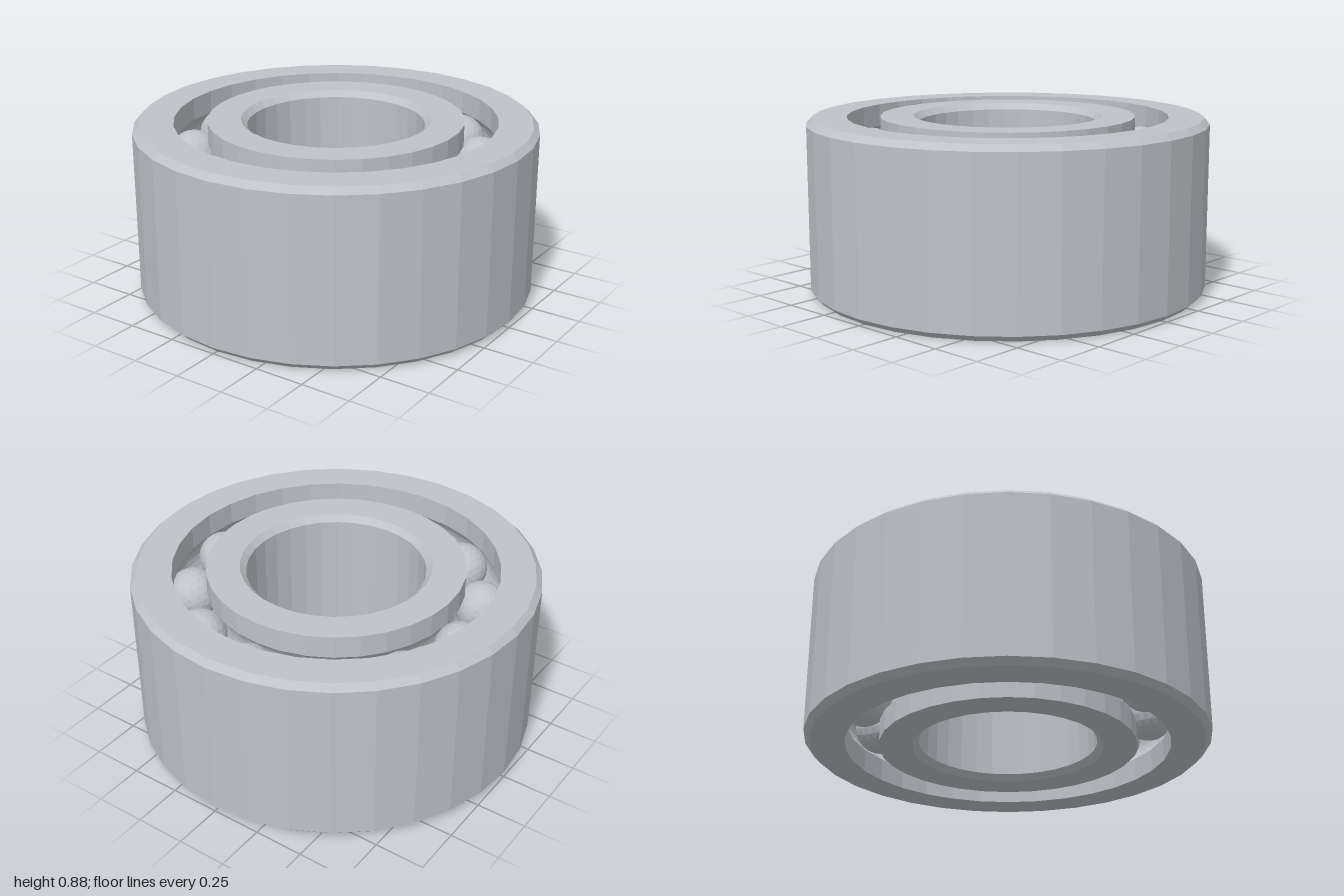
import * as THREE from 'three';

const HEIGHT = 0.875, BEVEL = 0.03, SEGMENTS = 32;
const PITCH = 0.715, BALL = 0.13, BALLS_PER_ROW = 12;
const ROWS = [HEIGHT / 4, HEIGHT * 3 / 4];

// Points of the rounded grooves cut in a race wall, from bottom to top.
// side is +1 for the wall outside the balls, -1 for the wall inside them.
function groovePoints(wall, side) {
  const radius = BALL + 0.004, points = [];
  const half = Math.acos(Math.abs(wall - PITCH) / radius);
  for (const y of ROWS) {
    for (let i = 0; i <= 8; i++) {
      const a = -half + (2 * half * i) / 8;
      points.push([PITCH + side * radius * Math.cos(a), y + radius * Math.sin(a)]);
    }
  }
  return points;
}

// Closed profile, up the outside and down the inside
function ring(name, profile, material) {
  const points = [...profile, profile[0]].map(([x, y]) => new THREE.Vector2(x, y));
  const mesh = new THREE.Mesh(new THREE.LatheGeometry(points, SEGMENTS), material);
  mesh.name = name;
  return mesh;
}

export function createModel() {
  const model = new THREE.Group();
  model.name = 'ballBearing';
  const steel = new THREE.MeshStandardMaterial({ color: 0xbfc3c9, flatShading: true });
  steel.name = 'steel';

  // Outer ring: bevelled rim outside, two grooves inside
  const outerWall = 0.8;
  model.add(ring('outerRing', [
    [outerWall, 0], [1 - BEVEL, 0], [1, BEVEL],
    [1, HEIGHT - BEVEL], [1 - BEVEL, HEIGHT], [outerWall, HEIGHT],
    ...groovePoints(outerWall, 1).reverse(),
  ], steel));

  // Inner ring: two grooves outside, bevelled bore inside
  const innerWall = 0.635, bore = 0.44;
  model.add(ring('innerRing', [
    [bore + BEVEL, 0], [innerWall, 0],
    ...groovePoints(innerWall, -1),
    [innerWall, HEIGHT], [bore + BEVEL, HEIGHT],
    [bore, HEIGHT - BEVEL], [bore, BEVEL],
  ], steel));

  // Two rows of faceted balls
  const ballGeometry = new THREE.IcosahedronGeometry(BALL, 3);
  ROWS.forEach((y, row) => {
    const group = new THREE.Group();
    group.name = row === 0 ? 'lowerBallRow' : 'upperBallRow';
    for (let i = 0; i < BALLS_PER_ROW; i++) {
      const a = (i / BALLS_PER_ROW) * Math.PI * 2;
      const ball = new THREE.Mesh(ballGeometry, steel);
      ball.name = 'ball';
      ball.position.set(PITCH * Math.sin(a), y, PITCH * Math.cos(a));
      group.add(ball);
    }
    model.add(group);
  });

  return model;
}
